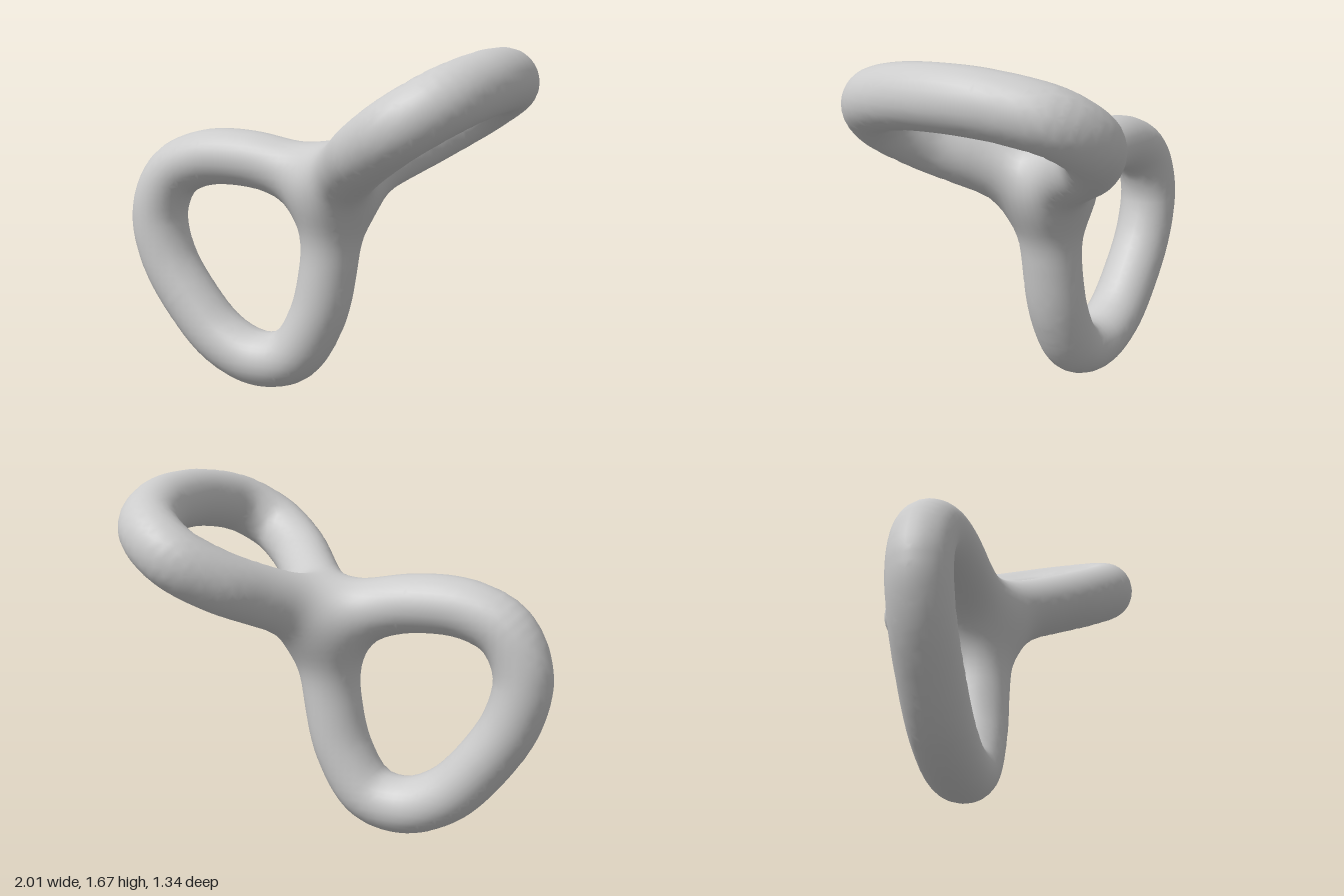
import * as THREE from 'three';

const R = 0.136; // tube radius within the plane of a loop
const DEPTH = 1.06; // how much thicker the tube is across that plane
const SLOPE = 0.65; // rise of the tilted loop
const HUB = new THREE.Vector3(0.085, 1.0, 0); // where the four arms meet
const v = (x, y, z = 0) => new THREE.Vector3(x, y, z);

// Centre line of the upright loop, in the plane z = 0
const lowerLoop = [
  HUB, v(-0.1, 1.07), v(-0.35, 1.125), v(-0.6, 1.117), v(-0.78, 1.03), v(-0.865, 0.84),
  v(-0.825, 0.62), v(-0.69, 0.4), v(-0.51, 0.215), v(-0.31, 0.137), v(-0.13, 0.18),
  v(0, 0.38), v(0.057, 0.62), v(0.075, 0.83), HUB,
];

// Centre line of the tilted loop: one side as (x, z), mirrored across z = 0
const tilt = (x, z) => v(x, 1.534 + (x - 0.865) * SLOPE, z);
const side = [[0.19, 0.14], [0.3, 0.29], [0.43, 0.445], [0.6, 0.535], [0.755, 0.465], [0.84, 0.25]];
const upperLoop = [
  HUB, ...side.map(([x, z]) => tilt(x, z)), tilt(0.865, 0),
  ...side.slice().reverse().map(([x, z]) => tilt(x, -z)), HUB,
];

// Each loop is split into two arms so that they can be blended at the hub
const arms = [[lowerLoop, v(0, 0, 1)], [upperLoop, v(-SLOPE, 1).normalize()]].flatMap(([points, normal]) => {
  const p = new THREE.CatmullRomCurve3(points).getSpacedPoints(80);
  return [p.slice(0, 41), p.slice(40)].map((line) => ({ line, normal }));
});

// Distance from a point to an arm's centre line, shortened across its plane
function armDistance(x, y, z, { line, normal }) {
  let best = Infinity;
  for (let i = 0; i < line.length - 1; i++) {
    const a = line[i], b = line[i + 1];
    const dx = b.x - a.x, dy = b.y - a.y, dz = b.z - a.z;
    let px = x - a.x, py = y - a.y, pz = z - a.z;
    const t = Math.min(1, Math.max(0, (px * dx + py * dy + pz * dz) / (dx * dx + dy * dy + dz * dz)));
    px -= t * dx;
    py -= t * dy;
    pz -= t * dz;
    const across = px * normal.x + py * normal.y + pz * normal.z;
    best = Math.min(best, px * px + py * py + pz * pz - across * across * (1 - 1 / DEPTH ** 2));
  }
  return Math.sqrt(best);
}

// Signed distance to the arms, softly merged around the hub only
function field(x, y, z) {
  const away = Math.hypot(x - HUB.x, y - HUB.y, z - HUB.z);
  const k = 0.052 * (1 - THREE.MathUtils.smoothstep(away, 0.2, 0.85)) + 0.0005;
  const distances = arms.map((arm) => armDistance(x, y, z, arm));
  const least = Math.min(...distances);
  return least - k * Math.log(distances.reduce((sum, d) => sum + Math.exp((least - d) / k), 0)) - R;
}

function gradient(p) {
  const e = 0.008;
  return v(
    field(p.x + e, p.y, p.z) - field(p.x - e, p.y, p.z),
    field(p.x, p.y + e, p.z) - field(p.x, p.y - e, p.z),
    field(p.x, p.y, p.z + e) - field(p.x, p.y, p.z - e),
  ).normalize();
}

// Skin over the field: one vertex per crossed cell, one quad per crossed edge
function skin(min, size, step) {
  const n = size.map((s) => Math.ceil(s / step) + 1);
  const stride = [1, n[0], n[0] * n[1]];
  const values = new Float32Array(n[0] * n[1] * n[2]);
  const at = (i, j, k) => i + j * stride[1] + k * stride[2];
  const each = (visit) => {
    for (let k = 0; k < n[2]; k++)
      for (let j = 0; j < n[1]; j++)
        for (let i = 0; i < n[0]; i++) visit(i, j, k, at(i, j, k));
  };
  each((i, j, k, id) => {
    values[id] = field(min[0] + i * step, min[1] + j * step, min[2] + k * step);
  });

  const vertexOf = new Map(), positions = [], normals = [], index = [];
  each((i, j, k, id) => {
    if (i === n[0] - 1 || j === n[1] - 1 || k === n[2] - 1) return;
    // average of the crossings on the twelve cell edges
    const sum = v(0, 0, 0);
    let count = 0;
    for (let c = 0; c < 8; c++) {
      const corner = [c & 1, (c >> 1) & 1, c >> 2];
      const start = at(i + corner[0], j + corner[1], k + corner[2]);
      const a = values[start];
      for (let axis = 0; axis < 3; axis++) {
        if (corner[axis]) continue;
        const b = values[start + stride[axis]];
        if ((a < 0) === (b < 0)) continue;
        const q = corner.slice();
        q[axis] = a / (a - b);
        sum.add(v(...q));
        count++;
      }
    }
    if (!count) return;
    const p = sum.divideScalar(count).add(v(i, j, k)).multiplyScalar(step).add(v(...min));
    // settle onto the surface
    for (let s = 0; s < 2; s++) p.addScaledVector(gradient(p), -field(p.x, p.y, p.z));
    vertexOf.set(id, positions.length / 3);
    positions.push(p.x, p.y, p.z);
    normals.push(...gradient(p).toArray());
  });

  each((i, j, k, id) => {
    const cell = [i, j, k];
    for (let axis = 0; axis < 3; axis++) {
      const b = (axis + 1) % 3, c = (axis + 2) % 3;
      if (cell[axis] === n[axis] - 1 || !cell[b] || !cell[c]) continue;
      const inside = values[id] < 0;
      if (inside === (values[id + stride[axis]] < 0)) continue;
      const quad = [id - stride[b] - stride[c], id - stride[c], id, id - stride[b]].map((q) => vertexOf.get(q));
      if (!inside) quad.reverse();
      index.push(quad[0], quad[1], quad[2], quad[0], quad[2], quad[3]);
    }
  });

  const geometry = new THREE.BufferGeometry();
  geometry.setAttribute('position', new THREE.Float32BufferAttribute(positions, 3));
  geometry.setAttribute('normal', new THREE.Float32BufferAttribute(normals, 3));
  geometry.setIndex(index);
  return geometry;
}

export function createModel() {
  const group = new THREE.Group();
  group.name = 'twistedDoubleLoop';
  const loops = new THREE.Mesh(
    skin([-1.08, -0.08, -0.76], [2.16, 1.84, 1.52], 0.04),
    new THREE.MeshStandardMaterial({ color: 0xcccccc }),
  );
  loops.name = 'joinedLoops';
  group.add(loops);
  return group;
}
